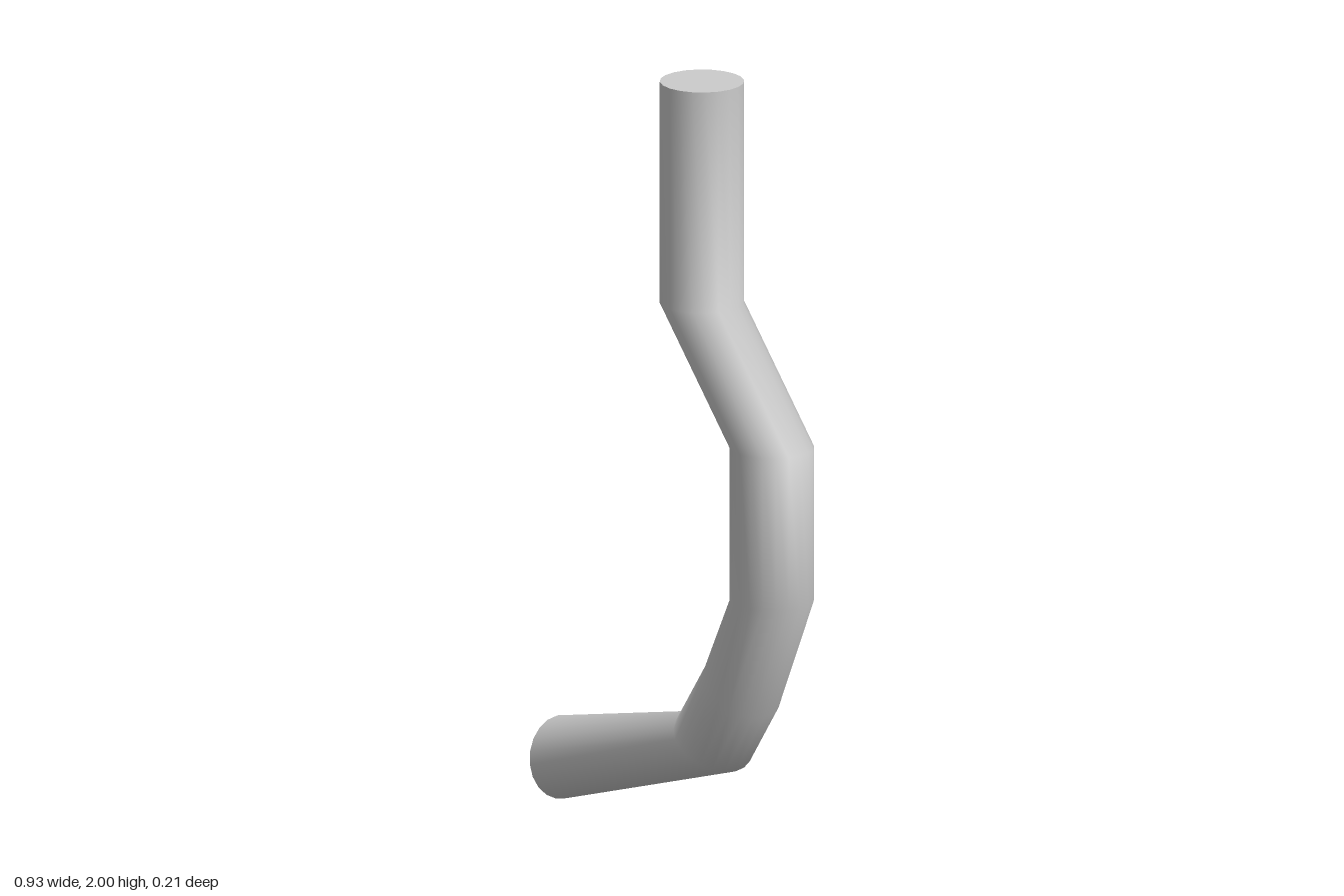
import * as THREE from 'three';

const SIDES = 20;
const RADIUS = 0.107;

// Each joint of the pipe: inner x, y and outer x, y of its mitred ring, top to bottom
const JOINTS = [
  [-0.019, 2.0, 0.196, 2.0],
  [-0.019, 1.42, 0.196, 1.42],
  [0.25, 1.095, 0.465, 1.095],
  [0.25, 0.694, 0.465, 0.694],
  [0.156, 0.503, 0.327, 0.377],
  [0.041, 0.333, 0.217, 0.213],
  [-0.467, 0.214, -0.434, 0.003],
];

// Elliptical ring of points spanning the inner and outer corner of a joint
function ring([ix, iy, ox, oy]) {
  const points = [];
  for (let j = 0; j < SIDES; j++) {
    const t = (j / SIDES) * Math.PI * 2;
    const k = Math.cos(t) / 2;
    points.push((ix + ox) / 2 + (ox - ix) * k, (iy + oy) / 2 + (oy - iy) * k, RADIUS * Math.sin(t));
  }
  return points;
}

function build(positions, index) {
  const geometry = new THREE.BufferGeometry();
  geometry.setAttribute('position', new THREE.Float32BufferAttribute(positions, 3));
  geometry.setIndex(index);
  geometry.computeVertexNormals();
  return geometry;
}

// Smooth wall joining successive rings
function wallGeometry() {
  const index = [];
  for (let i = 0; i < JOINTS.length - 1; i++) {
    for (let j = 0; j < SIDES; j++) {
      const a = i * SIDES + j;
      const b = i * SIDES + ((j + 1) % SIDES);
      index.push(a, b, a + SIDES, b, b + SIDES, a + SIDES);
    }
  }
  return build(JOINTS.flatMap(ring), index);
}

// Flat disc closing one end
function capGeometry(joint, top) {
  const index = [];
  for (let j = 1; j < SIDES - 1; j++) index.push(0, ...(top ? [j + 1, j] : [j, j + 1]));
  return build(ring(joint), index);
}

export function createModel() {
  const group = new THREE.Group();
  group.name = 'bentPipe';
  const material = new THREE.MeshStandardMaterial({ color: 0xcccccc });
  const add = (name, geometry) => {
    const mesh = new THREE.Mesh(geometry, material);
    mesh.name = name;
    group.add(mesh);
  };
  add('pipeWall', wallGeometry());
  add('topCap', capGeometry(JOINTS[0], true));
  add('outletCap', capGeometry(JOINTS[JOINTS.length - 1], false));
  return group;
}
